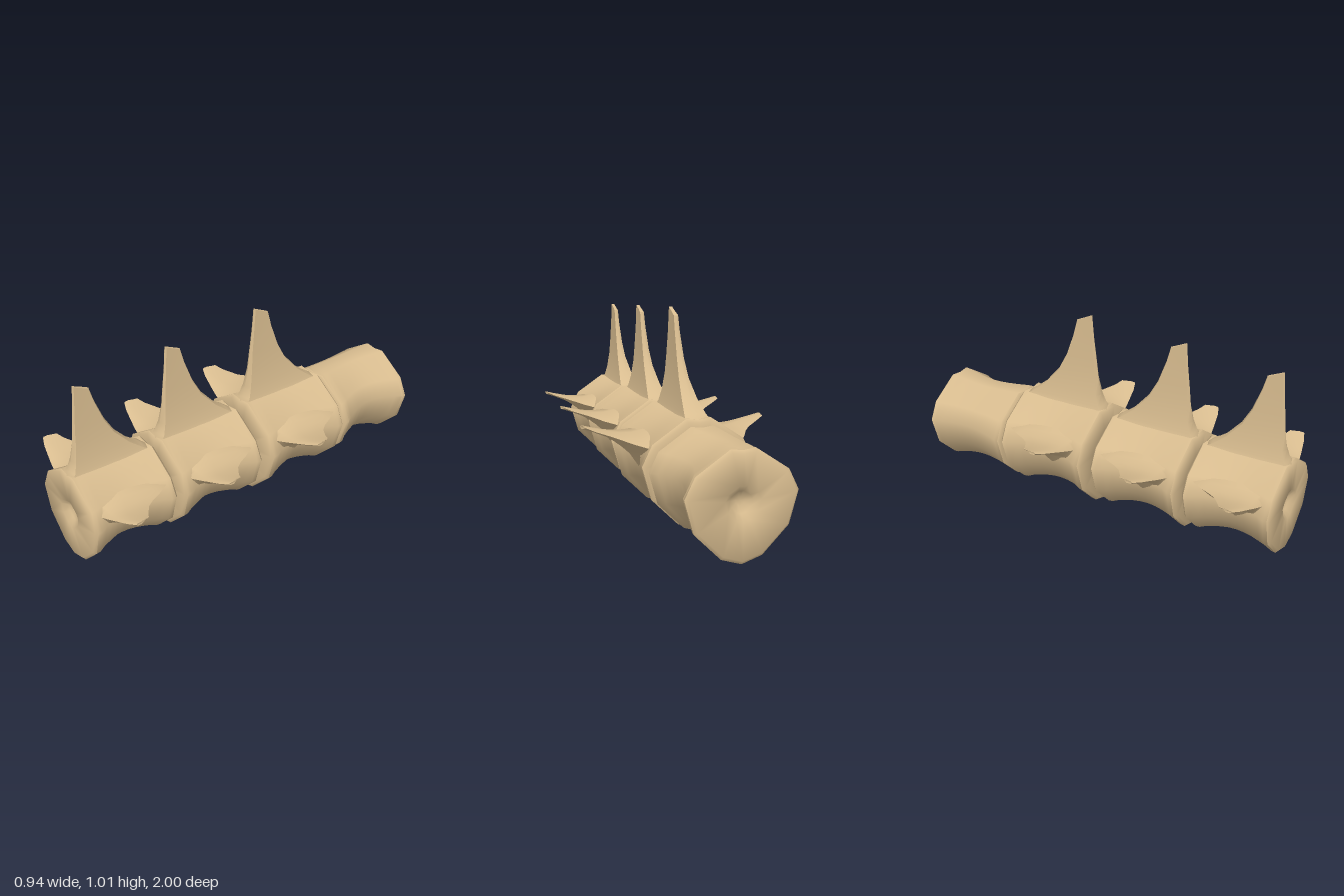
import * as THREE from 'three';
import { toCreasedNormals } from 'three/addons/utils/BufferGeometryUtils.js';

// Skins a list of equal rings [[x,y,z],...] and closes both ends; faces always point outward.
function loft(rings, crease) {
  const n = rings[0].length, pos = rings.flat(2), idx = [];
  for (let r = 0; r < rings.length - 1; r++)
    for (let i = 0; i < n; i++) {
      const a = r * n + i, b = r * n + (i + 1) % n;
      idx.push(a, b, b + n, a, b + n, a + n);
    }
  [rings[0], rings[rings.length - 1]].forEach((ring, end) => {
    const c = pos.length / 3, base = end ? (rings.length - 1) * n : 0;
    for (let k = 0; k < 3; k++) pos.push(ring.reduce((s, p) => s + p[k], 0) / n);
    for (let i = 0; i < n; i++) {
      const a = base + i, b = base + (i + 1) % n;
      end ? idx.push(a, b, c) : idx.push(b, a, c);
    }
  });
  // signed volume tells which way the faces wind
  let volume = 0;
  const v = (i) => new THREE.Vector3().fromArray(pos, i * 3);
  for (let i = 0; i < idx.length; i += 3)
    volume += v(idx[i]).dot(v(idx[i + 1]).cross(v(idx[i + 2])));
  if (volume < 0) idx.reverse();
  const g = new THREE.BufferGeometry();
  g.setAttribute('position', new THREE.Float32BufferAttribute(pos, 3));
  g.setIndex(idx);
  return toCreasedNormals(g, crease);
}

// Half outline of the vertebral body, mirrored to a full ring
const half = [[0.1, 0.035], [0.23, 0.165], [0.275, 0.325], [0.225, 0.425], [0.06, 0.535]];
const outline = [[0, 0.003], ...half, [0, 0.527], ...half.map(([x, y]) => [-x, y]).reverse()];

// Spool-shaped body with bevelled rims and a pit in each end
function bodyGeometry(shift) {
  const ring = (z, sx, sy, pivot, dx = 0) =>
    outline.map(([x, y]) => [x * sx + dx, pivot + (y - pivot) * sy, z]);
  // end: depth, scale around the centre
  const end = [[0.045, 0.08], [0.03, 0.2], [0.004, 0.32], [0.002, 0.94], [0.016, 1], [0.04, 0.99]];
  const rings = end.map(([d, s]) => ring(-d, s, s, 0.29));
  for (let i = 0; i <= 8; i++) {
    const t = i / 8, w = 0.35 + 0.65 * Math.sin(Math.PI * t);
    rings.push(ring(-0.075 - 0.35 * t, 1 - 0.185 * w, 1 - 0.125 * w, 0.45, shift * w));
  }
  end.slice().reverse().forEach(([d, s]) => rings.push(ring(d - 0.5, s, s, 0.29)));
  return loft(rings, 0.8);
}

// Tall blade on top: height, front z, back z, half width
function spineGeometry() {
  const levels = [
    [0.47, -0.005, -0.495, 0.085], [0.525, -0.012, -0.485, 0.06], [0.545, -0.028, -0.45, 0.053],
    [0.60, -0.045, -0.38, 0.039], [0.69, -0.06, -0.30, 0.025], [0.78, -0.07, -0.25, 0.018],
    [0.90, -0.085, -0.205, 0.013], [0.98, -0.095, -0.183, 0.011],
  ];
  const section = (y, f, b, w, tilt) => {
    const e = Math.min(w * 0.5, 0.012), m = (f + b) / 2;
    return [[0, y + tilt, f], [w * 0.8, y + tilt, f - e], [w * 0.8, y + tilt / 2, m], [w, y, b + e],
      [0, y, b], [-w, y, b + e], [-w * 0.8, y + tilt / 2, m], [-w * 0.8, y + tilt, f - e]];
  };
  return loft(levels.map(([y, f, b, w], i) => section(y, f, b, w, i === 7 ? 0.035 : 0)), 0.9);
}

// Swept side wing: x, front z, back z, top y, bottom y
function wingGeometry(side) {
  const stations = [
    [0.16, -0.045, -0.47, 0.44, 0.18], [0.205, -0.05, -0.465, 0.43, 0.25],
    [0.235, -0.06, -0.45, 0.425, 0.305], [0.28, -0.068, -0.38, 0.422, 0.35],
    [0.315, -0.075, -0.315, 0.424, 0.378], [0.35, -0.083, -0.27, 0.43, 0.4],
    [0.42, -0.1, -0.22, 0.447, 0.43], [0.47, -0.12, -0.198, 0.463, 0.448],
  ];
  return loft(stations.map(([x, f, b, t, l], i) => {
    const at = (u, v, dx = 0) => [side * (x + dx), l + (t - l) * v, f + (b - f) * u];
    const tip = i === 7 ? -0.01 : 0;
    return [at(0, 0.65), at(0.08, 0.95), at(0.35, 1), at(0.75, 0.98, tip), at(1, 0.8, tip),
      at(0.75, 0.4, tip), at(0.4, 0.05), at(0.1, 0.15)];
  }), 1.1);
}

export function createModel() {
  const model = new THREE.Group();
  model.name = 'vertebrae';
  const bone = new THREE.MeshStandardMaterial({ color: 0xd9bd90 });
  bone.name = 'bone';
  const add = (parent, name, geometry) => {
    const mesh = new THREE.Mesh(geometry, bone);
    mesh.name = name;
    parent.add(mesh);
  };

  // Three winged vertebrae, growing toward the back
  [[1, 0.9], [0.52, 0.95], [0, 1]].forEach(([z, s], i) => {
    const vertebra = new THREE.Group();
    vertebra.name = 'vertebra' + (i + 1);
    add(vertebra, 'body', bodyGeometry(0));
    add(vertebra, 'spine', spineGeometry());
    add(vertebra, 'leftWing', wingGeometry(1));
    add(vertebra, 'rightWing', wingGeometry(-1));
    vertebra.scale.setScalar(s);
    vertebra.position.set(0, 0.4 * (1 - s), z);
    model.add(vertebra);
  });

  // Plain vertebra at the back
  const plain = new THREE.Group();
  plain.name = 'plainVertebra';
  add(plain, 'body', bodyGeometry(-0.022));
  plain.scale.set(0.94, 0.94, 0.97);
  plain.position.set(0, 0.003, -0.515);
  model.add(plain);
  return model;
}
